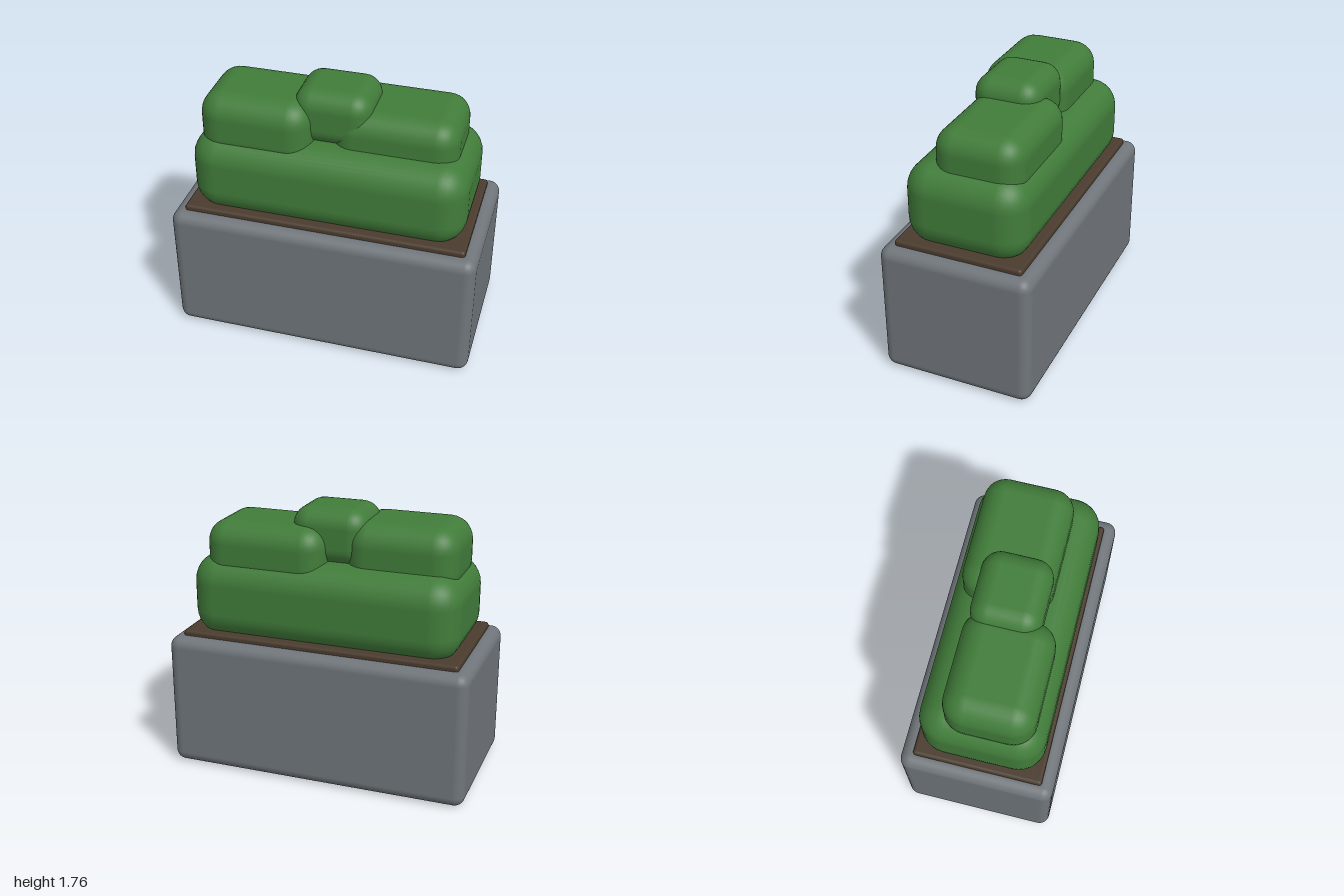
import * as THREE from 'three';
import { RoundedBoxGeometry } from 'three/addons/geometries/RoundedBoxGeometry.js';

const material = (name, color) => {
  const m = new THREE.MeshStandardMaterial({ color });
  m.name = name;
  return m;
};

export function createModel() {
  const group = new THREE.Group();
  group.name = 'hedgePlanter';
  const stone = material('stone grey', 0x6f757a);
  const earth = material('soil brown', 0x4a3b2e);
  const leaf = material('leaf green', 0x417c3a);

  // Rounded block given by its [min, max] extent on each axis
  const block = (name, mat, [x0, x1], [y0, y1], [z0, z1], radius) => {
    const geometry = new RoundedBoxGeometry(x1 - x0, y1 - y0, z1 - z0, 4, radius);
    const mesh = new THREE.Mesh(geometry, mat);
    mesh.name = name;
    mesh.position.set((x0 + x1) / 2, (y0 + y1) / 2, (z0 + z1) / 2);
    group.add(mesh);
  };

  // Planter and soil bed
  block('planter', stone, [-1, 1], [0, 0.89], [-0.5, 0.5], 0.07);
  block('soil', earth, [-0.92, 0.92], [0.85, 0.925], [-0.42, 0.42], 0.02);

  // Main hedge with three overlapping clumps on top
  block('hedge', leaf, [-0.89, 0.89], [0.87, 1.42], [-0.4, 0.4], 0.18);
  block('rightClump', leaf, [-0.835, -0.11], [1.26, 1.69], [-0.245, 0.33], 0.15);
  block('leftClump', leaf, [0, 0.795], [1.25, 1.645], [-0.345, 0.23], 0.14);
  block('middleClump', leaf, [-0.25, 0.25], [1.39, 1.757], [-0.222, 0.222], 0.12);

  return group;
}
